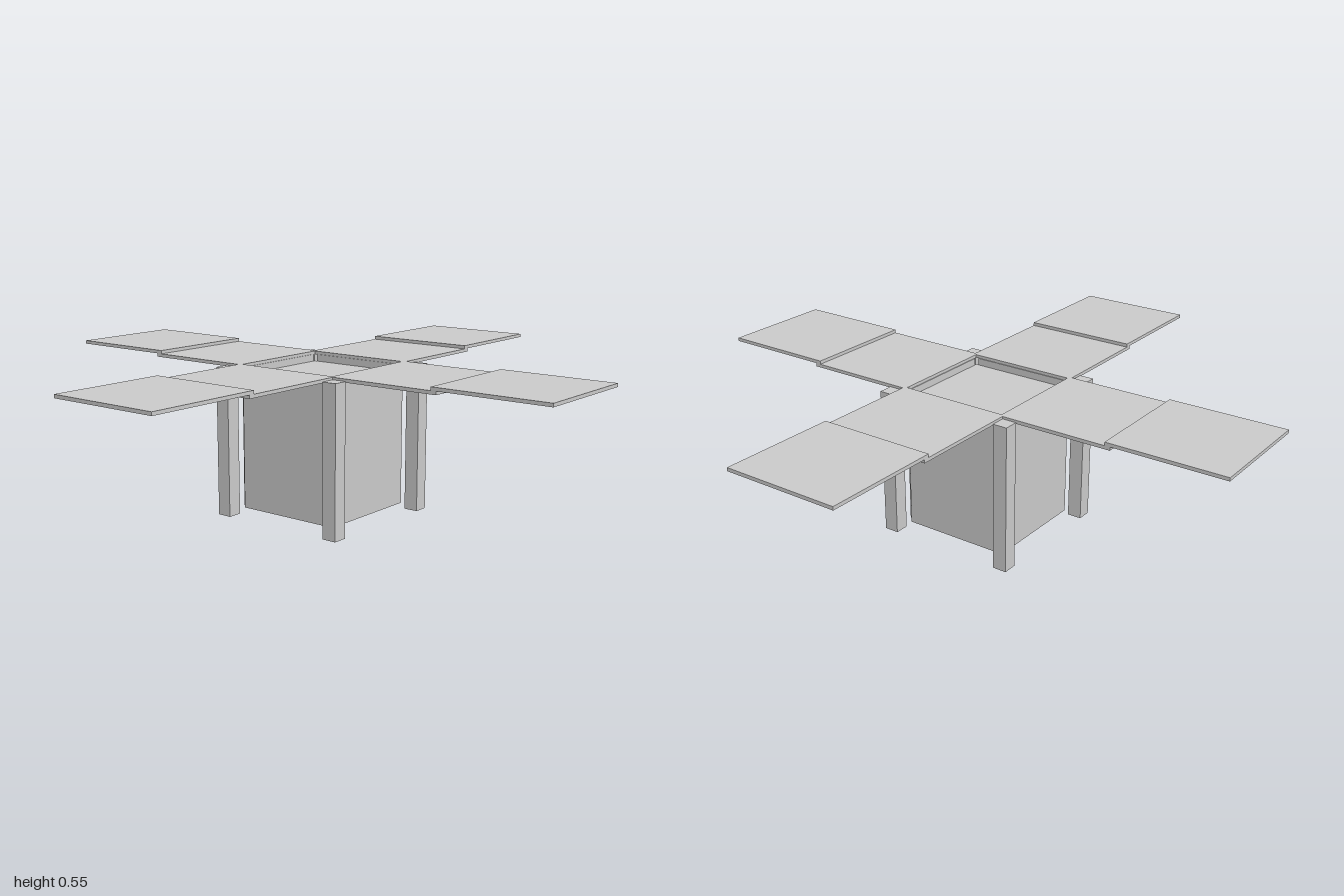
import * as THREE from 'three';

const material = new THREE.MeshStandardMaterial({ color: 0xcccccc, flatShading: true });

// Box given by its minimum and maximum corners
function box(name, [x0, y0, z0], [x1, y1, z1]) {
  const mesh = new THREE.Mesh(new THREE.BoxGeometry(x1 - x0, y1 - y0, z1 - z0), material);
  mesh.position.set((x0 + x1) / 2, (y0 + y1) / 2, (z0 + z1) / 2);
  mesh.name = name;
  return mesh;
}

export function createModel() {
  const model = new THREE.Group();
  model.name = 'foldOutBox';

  // Solid core, whose top is the floor of the shallow recess
  model.add(box('core', [-0.195, 0.027, -0.195], [0.195, 0.497, 0.195]));

  // Four identical sides, each turned a quarter
  for (let i = 0; i < 4; i++) {
    const side = new THREE.Group();
    side.name = 'side' + (i + 1);
    side.add(
      // Wall, stopping short of the corners and rising above the core
      box('wall', [-0.184, 0.027, 0.193], [0.184, 0.522, 0.208]),
      // Flap hinged on the wall, and its extension lying on top
      box('innerFlap', [-0.207, 0.521, 0.196], [0.207, 0.533, 0.605]),
      box('outerFlap', [-0.207, 0.533, 0.585], [0.207, 0.545, 1]),
      // Corner post
      box('cornerPost', [0.208, 0, 0.208], [0.26, 0.525, 0.26]),
    );
    side.rotation.y = (i * Math.PI) / 2;
    model.add(side);
  }
  return model;
}
